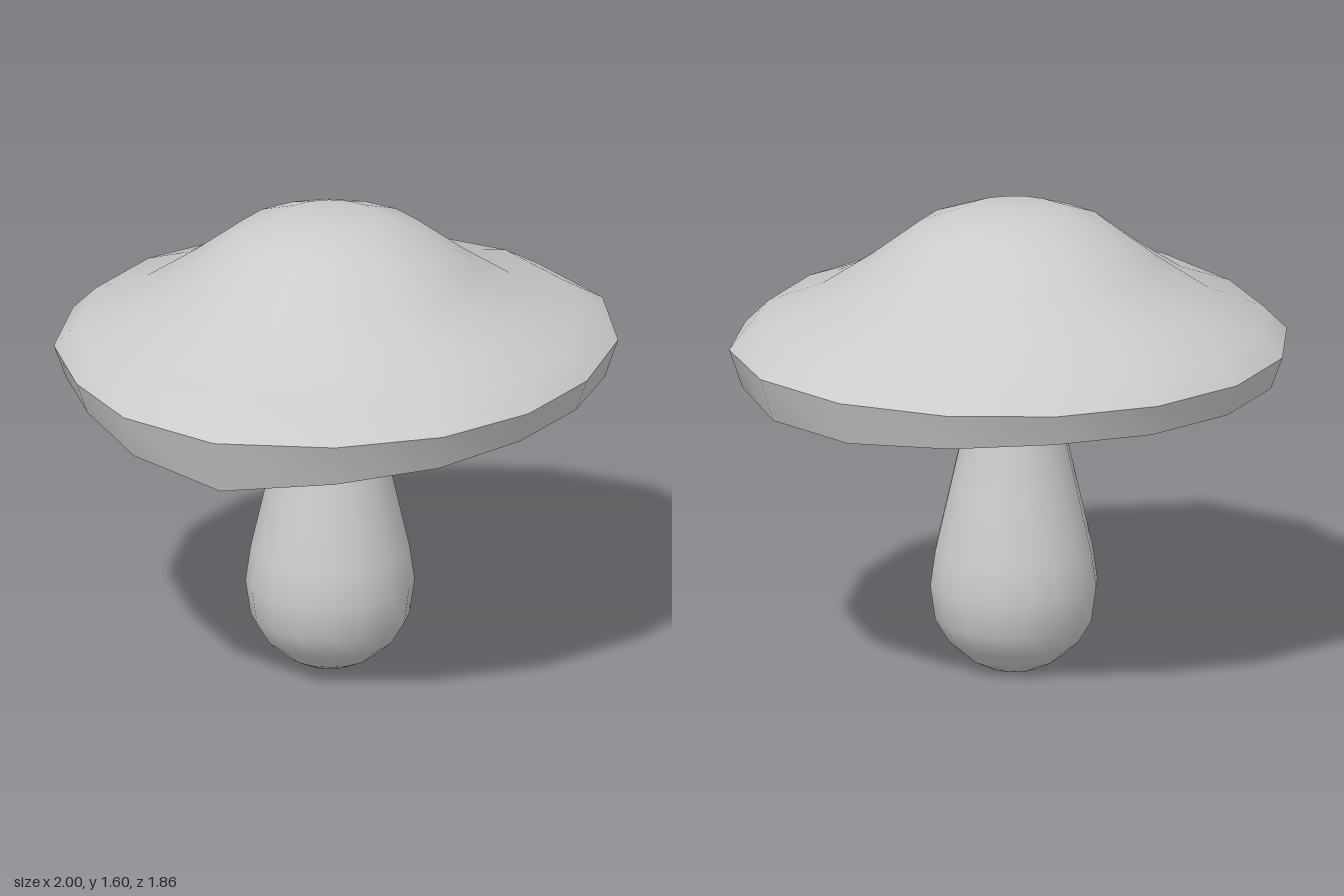
import * as THREE from 'three';
import { toCreasedNormals } from 'three/addons/utils/BufferGeometryUtils.js';

const SIDES = 16;

// Lathe from [radius, y] pairs, listed so that faces point outwards
const lathe = (profile) =>
  new THREE.LatheGeometry(profile.map(([r, y]) => new THREE.Vector2(r, y)), SIDES);

export function createModel() {
  const group = new THREE.Group();
  group.name = 'mushroom';
  const material = new THREE.MeshStandardMaterial({ color: 0xcccccc });

  // Stem: bulbous foot tapering up into the cap
  const stem = new THREE.Mesh(lathe([
    [0, 0], [0.09, 0], [0.15, 0.03], [0.22, 0.09], [0.268, 0.17], [0.285, 0.29],
    [0.268, 0.41], [0.22, 0.62], [0.17, 0.84], [0.14, 1.03], [0.115, 1.2], [0.11, 1.35],
  ]), material);
  stem.name = 'stem';
  group.add(stem);

  // Cap: hollow underside, rim band, then domed top
  const cap = lathe([
    [0, 1.36], [0.13, 1.35], [0.16, 1.29], [0.3, 1.2], [0.5, 1.11], [0.7, 1.06],
    [0.89, 1.03], [0.93, 1.14], [0.85, 1.22],
    [0.66, 1.295], [0.49, 1.41], [0.32, 1.54], [0.17, 1.595], [0, 1.597],
  ]);

  // Swell of the rim at each side, counted from +x towards +z
  const swell = [0.07, 0.07, 0.04, 0, 0, 0.03, 0.07, 0.14, 0.07, 0, 0, 0, 0, 0, 0, 0.03];
  const pos = cap.attributes.position;
  for (let i = 0; i < pos.count; i++) {
    const x = pos.getX(i), y = pos.getY(i), z = pos.getZ(i);
    const r = Math.hypot(x, z);
    if (r < 0.8) continue;
    const k = (Math.round(Math.atan2(z, x) / (2 * Math.PI) * SIDES) + SIDES) % SIDES;
    const b = swell[k];
    const out = r < 0.87 ? 0 : r < 0.91 ? 0.85 : 1;
    const lift = r < 0.87 ? 0.32 : r < 0.91 ? -0.4 : 0.2;
    const s = (r + b * out) / r;
    pos.setXYZ(i, x * s, y + b * lift, z * s);
  }
  const capMesh = new THREE.Mesh(toCreasedNormals(cap, Math.PI / 3), material);
  capMesh.name = 'cap';
  group.add(capMesh);

  return group;
}
